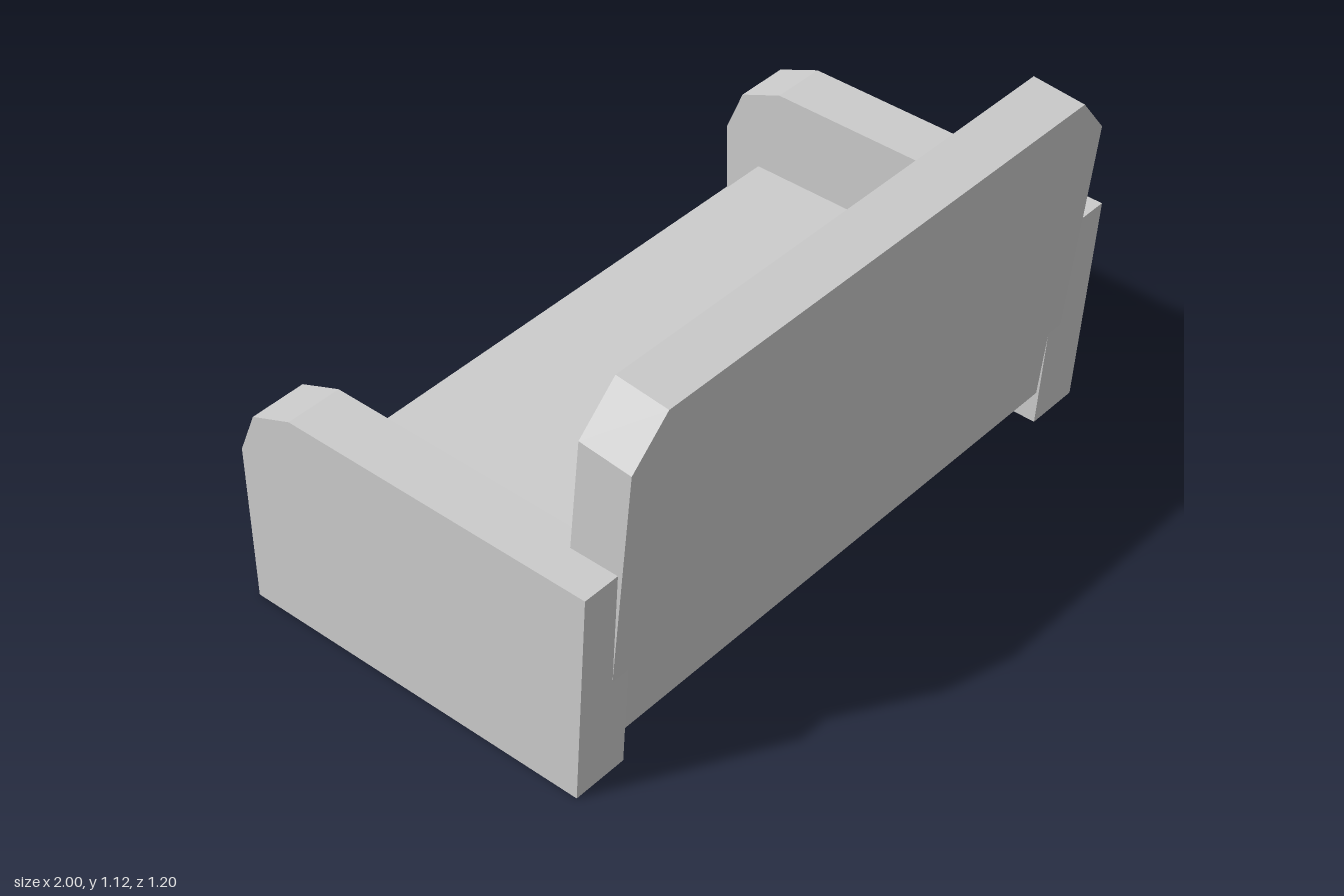
import * as THREE from 'three';

const material = new THREE.MeshStandardMaterial({ color: 0xcccccc, flatShading: true });

function addMesh(parent, name, geometry, x, y, z) {
  const mesh = new THREE.Mesh(geometry, material);
  mesh.name = name;
  mesh.position.set(x, y, z);
  parent.add(mesh);
  return mesh;
}

// Box given by its lower and upper corners
function addBox(parent, name, min, max) {
  const size = max.map((v, i) => v - min[i]);
  const mid = max.map((v, i) => (v + min[i]) / 2);
  return addMesh(parent, name, new THREE.BoxGeometry(...size), ...mid);
}

function extrude(points, depth) {
  const shape = new THREE.Shape(points.map(([x, y]) => new THREE.Vector2(x, y)));
  return new THREE.ExtrudeGeometry(shape, { depth, bevelEnabled: false });
}

export function createModel() {
  const sofa = new THREE.Group();
  sofa.name = 'sofa';

  // Seat base, its ends set into the arms, and the raised cushion
  addBox(sofa, 'seatBase', [-0.885, 0.012, -0.598], [0.885, 0.27, 0.41]);
  addBox(sofa, 'seatCushion', [-0.85, 0.25, -0.48], [0.85, 0.397, 0.29]);

  // Arms: side profile in (z, y), extruded across the width
  const armWidth = 0.165;
  const armProfile = [
    [-0.59, 0], [0.495, 0], [0.54, 0.658], [-0.41, 0.663], [-0.54, 0.61], [-0.595, 0.48],
  ];
  const armGeometry = extrude(armProfile, armWidth).rotateY(-Math.PI / 2);
  addMesh(sofa, 'leftArm', armGeometry, 1, 0, 0);
  addMesh(sofa, 'rightArm', armGeometry, -1 + armWidth, 0, 0);

  // Backrest: slab with cut upper corners, leaning back
  const thickness = 0.157;
  const backOutline = [
    [-0.89, 0], [0.89, 0], [0.89, 0.882], [0.78, 1.01], [-0.78, 1.01], [-0.89, 0.882],
  ];
  const backGeometry = extrude(backOutline, thickness).translate(0, 0, -thickness);
  const backrest = addMesh(sofa, 'backrest', backGeometry, 0, 0.1, 0.494);
  backrest.rotation.x = 0.105;

  return sofa;
}
